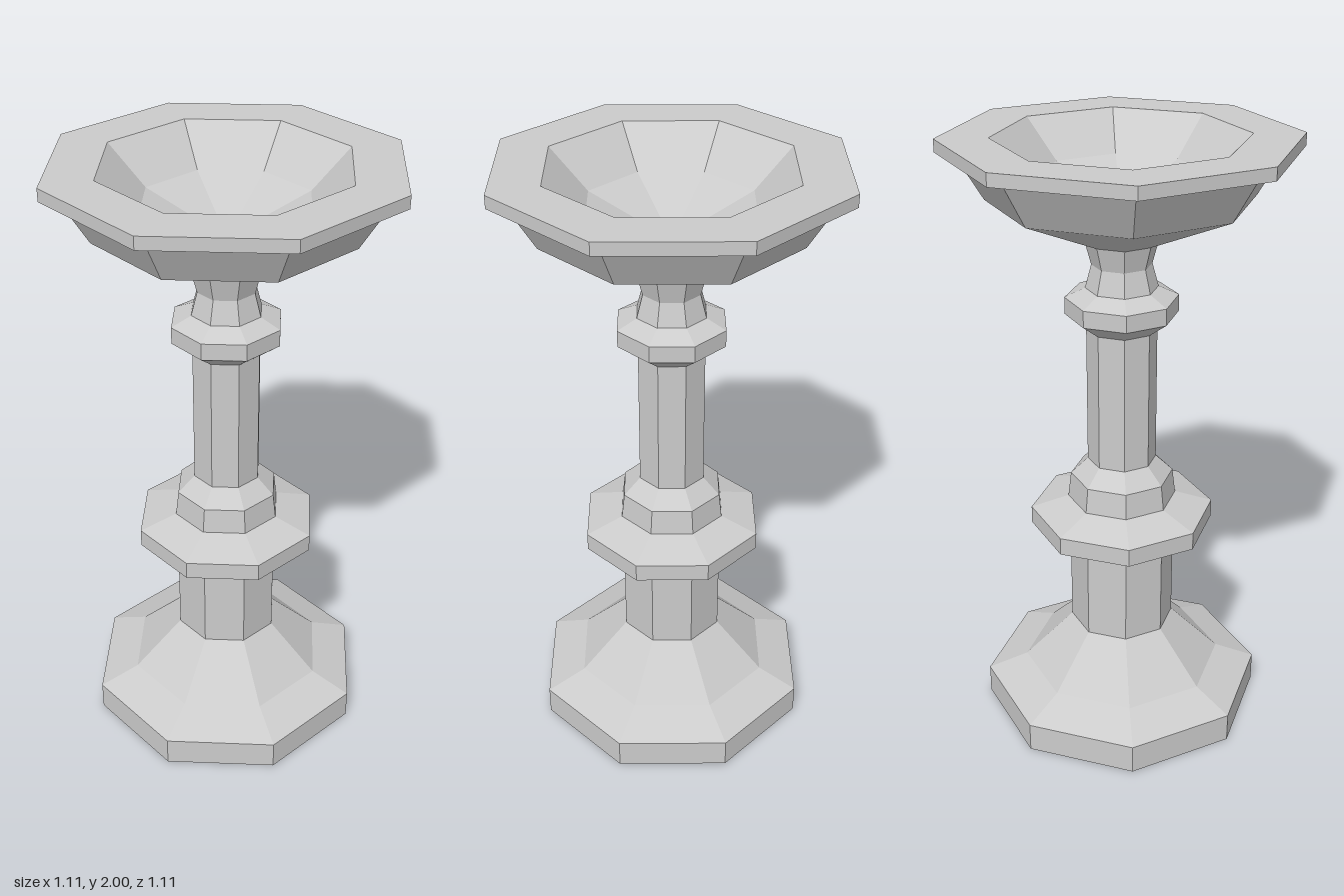
import * as THREE from 'three';

const SIDES = 8;

// Octagonal turned parts, each profile listed as [radius, height] running up the outside
const PARTS = {
  foot: [[0, 0], [0.475, 0], [0.475, 0.1], [0.34, 0.155], [0.175, 0.32]],
  lowerShaft: [[0.175, 0.32], [0.175, 0.62]],
  lowerCollar: [[0.175, 0.62], [0.217, 0.66], [0.305, 0.695], [0.305, 0.755], [0.18, 0.795]],
  shoulder: [[0.18, 0.795], [0.17, 0.88], [0.113, 0.935]],
  upperShaft: [[0.113, 0.935], [0.113, 1.395]],
  upperCollar: [[0.113, 1.395], [0.18, 1.445], [0.18, 1.5], [0.115, 1.53]],
  neck: [[0.115, 1.53], [0.095, 1.605], [0.115, 1.68]],
  bowl: [[0.115, 1.68], [0.413, 1.815], [0.5, 1.96]],
  rim: [[0.5, 1.96], [0.553, 1.96], [0.553, 2], [0.392, 2]],
  basin: [[0.392, 2], [0.268, 1.88], [0, 1.77]],
};

export function createModel() {
  const group = new THREE.Group();
  group.name = 'pedestalBowl';
  const material = new THREE.MeshStandardMaterial({ color: 0xcccccc, flatShading: true });

  for (const [name, profile] of Object.entries(PARTS)) {
    const points = profile.map(([r, y]) => new THREE.Vector2(r, y));
    const mesh = new THREE.Mesh(new THREE.LatheGeometry(points, SIDES), material);
    mesh.name = name;
    group.add(mesh);
  }
  return group;
}
